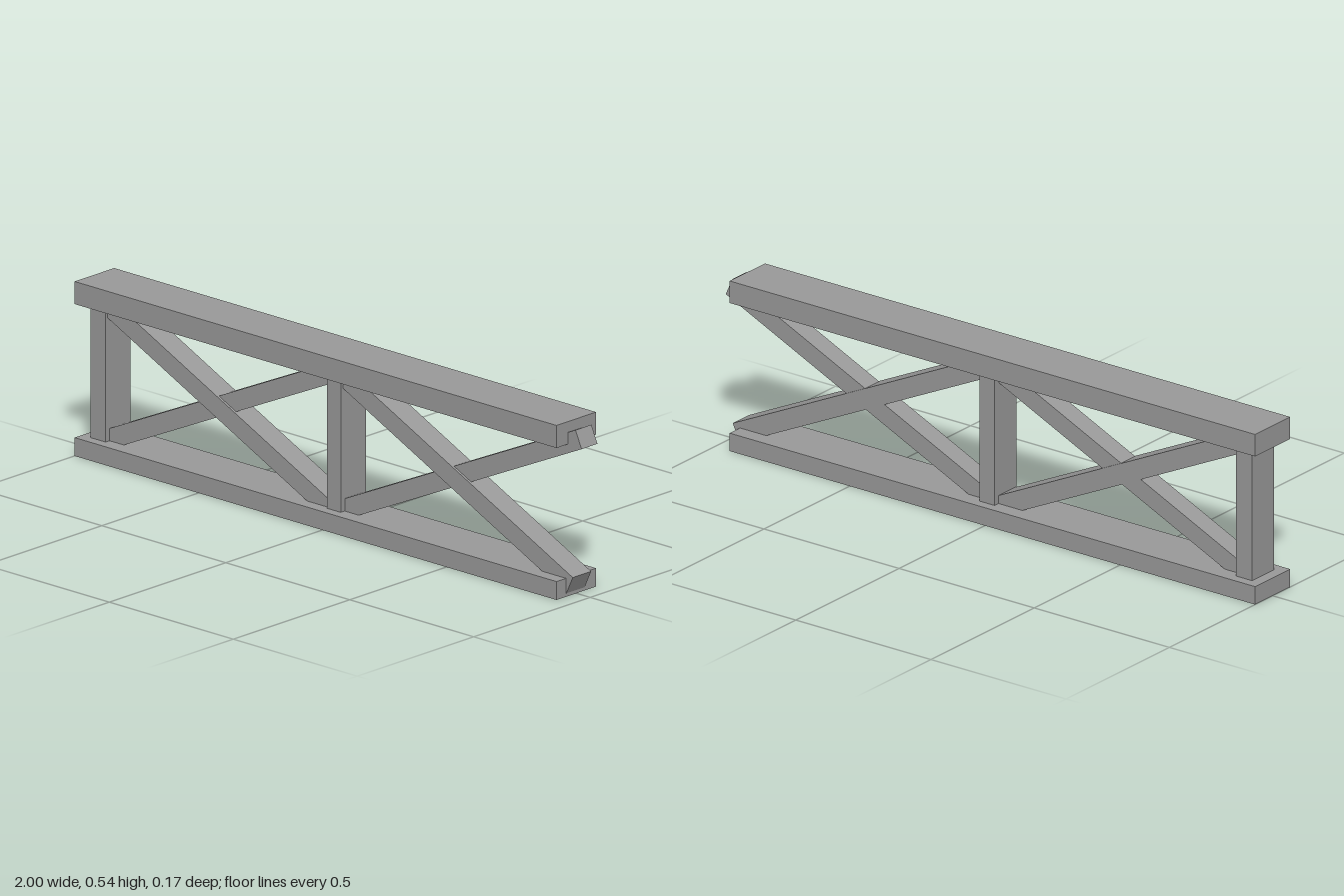
import * as THREE from 'three';

export function createModel() {
  const model = new THREE.Group();
  const material = new THREE.MeshStandardMaterial({ color: 0x999999, flatShading: true });

  // Box given by its extents along each axis
  function bar(name, [x0, x1], [y0, y1], [z0, z1]) {
    const mesh = new THREE.Mesh(new THREE.BoxGeometry(x1 - x0, y1 - y0, z1 - z0), material);
    mesh.position.set((x0 + x1) / 2, (y0 + y1) / 2, (z0 + z1) / 2);
    mesh.name = name;
    model.add(mesh);
  }

  // Square-ended brace between two centreline points in the xy plane
  function brace(name, [x0, y0], [x1, y1], [z0, z1], thickness) {
    const length = Math.hypot(x1 - x0, y1 - y0);
    const mesh = new THREE.Mesh(new THREE.BoxGeometry(length, thickness, z1 - z0), material);
    mesh.position.set((x0 + x1) / 2, (y0 + y1) / 2, (z0 + z1) / 2);
    mesh.rotation.z = Math.atan2(y1 - y0, x1 - x0);
    mesh.name = name;
    model.add(mesh);
  }

  // Long horizontal chords
  bar('topBeam', [-1, 0.944], [0.471, 0.541], [-0.085, 0.085]);
  bar('bottomBeam', [-1, 0.944], [0, 0.057], [-0.085, 0.085]);

  // Uprights
  bar('endPost', [-0.965, -0.905], [0.04, 0.49], [-0.054, 0.053]);
  bar('middlePost', [-0.012, 0.044], [0.04, 0.49], [-0.054, 0.053]);

  // Crossed braces, one pair per bay; the left-hand pair overshoots the beams
  for (const [side, dx] of [['left', 0], ['right', -0.948]]) {
    brace(side + 'RisingBrace', [0.015 + dx, 0.05], [0.987 + dx, 0.495], [-0.032, 0.036], 0.059);
    brace(side + 'FallingBrace', [0.015 + dx, 0.487], [0.958 + dx, 0.038], [-0.035, 0.044], 0.061);
  }

  return model;
}
